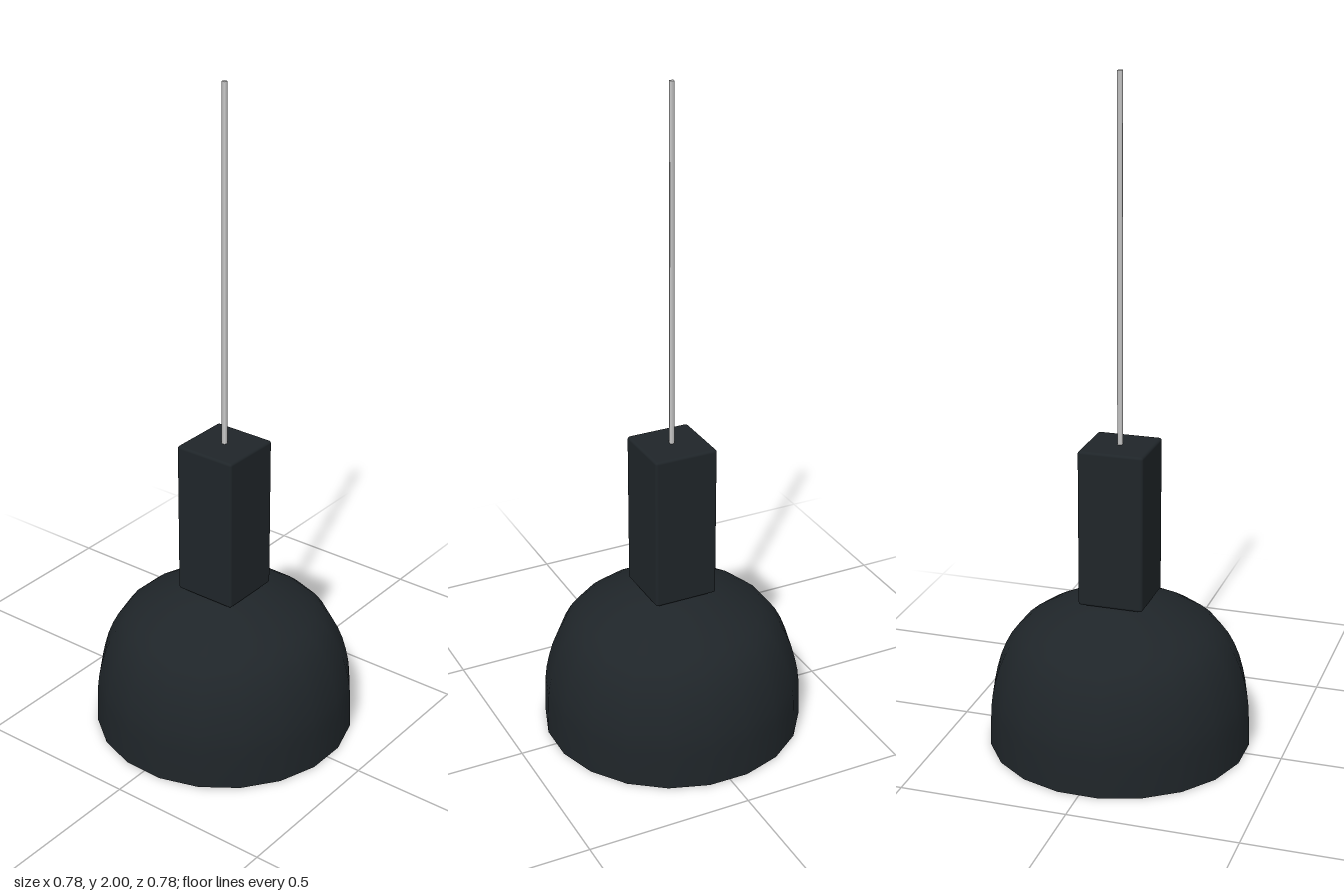
import * as THREE from 'three';
import { RoundedBoxGeometry } from 'three/addons/geometries/RoundedBoxGeometry.js';

const SIDES = 20;
const TURN = THREE.MathUtils.degToRad(8.4);

export function createModel() {
  const model = new THREE.Group();
  const black = new THREE.MeshStandardMaterial({ color: 0x1f2529 });
  const grey = new THREE.MeshStandardMaterial({ color: 0xcccccc });

  const add = (name, geometry, material, y = 0) => {
    const mesh = new THREE.Mesh(geometry, material);
    mesh.name = name;
    mesh.position.y = y;
    model.add(mesh);
    return mesh;
  };
  const toPoints = (list) => list.map(([x, y]) => new THREE.Vector2(x, y));
  const lathe = (points) => new THREE.LatheGeometry(points, SIDES, TURN);

  // Dome shade: outer skin, inner lining set slightly inside it, and the rim joining them
  const wall = 0.007;
  const outer = new THREE.SplineCurve(toPoints([
    [0.392, 0], [0.39, 0.08], [0.383, 0.165], [0.353, 0.27], [0.298, 0.355],
    [0.2, 0.416], [0.1, 0.452], [0, 0.463],
  ])).getPoints(18);
  outer[outer.length - 1].x = 0;
  const inner = outer.map((p) => new THREE.Vector2(
    p.x * (1 - wall / 0.392), p.y * (1 - wall / 0.463))).reverse();
  add('shade', lathe(outer), black);
  add('shadeLining', lathe(inner), grey);
  add('shadeRim', lathe([inner[inner.length - 1], outer[0]]), black);

  // Square neck with softened edges
  add('neck', new RoundedBoxGeometry(0.196, 0.475, 0.196, 2, 0.008), black, 0.6925);

  // Thin four-sided cord
  const cord = add('cord', new THREE.CylinderGeometry(0.0085, 0.0085, 1.08, 4), grey, 1.46);
  cord.rotation.y = Math.PI / 4 - TURN;

  // Bulb with a tapering stem reaching up into the shade
  const bulb = [];
  for (let i = 0; i <= 12; i++) {
    const a = -Math.PI / 2 + (i / 12) * Math.PI * 0.78;
    bulb.push([0.066 * Math.cos(a), 0.205 + 0.066 * Math.sin(a)]);
  }
  bulb[0][0] = 0;
  bulb.push([0.036, 0.285], [0.034, 0.32], [0.034, 0.455]);
  add('bulb', lathe(toPoints(bulb)), grey);

  return model;
}
